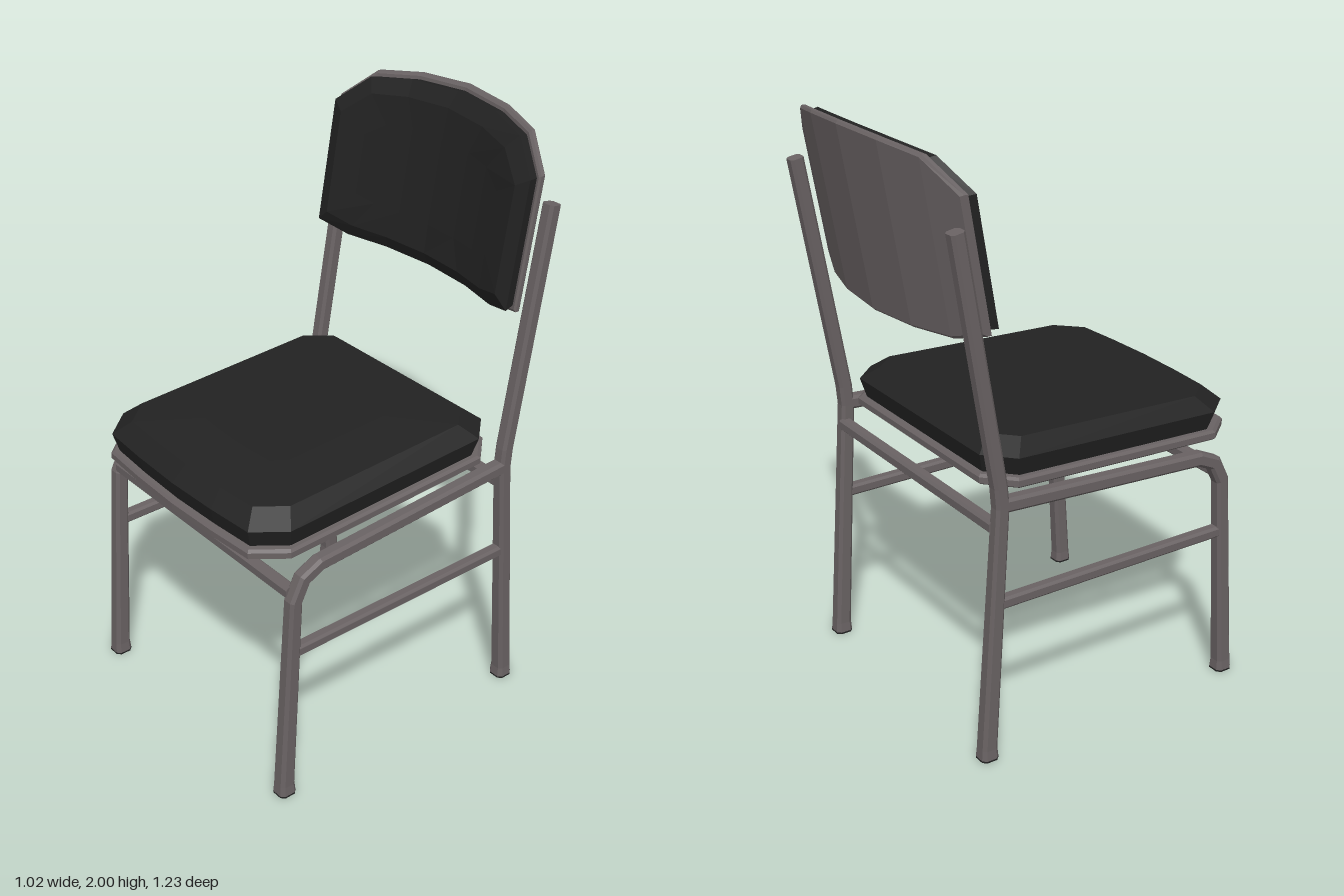
import * as THREE from 'three';

const metal = new THREE.MeshStandardMaterial({ color: 0x696263, flatShading: true });
metal.name = 'warm grey metal';
const fabric = new THREE.MeshStandardMaterial({ color: 0x222222, flatShading: true });
fabric.name = 'black padding';

// Collects quads (a, b, c, d counter-clockwise from outside) into a faceted geometry
function facets(quads) {
  const pos = [];
  for (const [a, b, c, d] of quads) for (const p of [a, b, c, a, c, d]) pos.push(p.x, p.y, p.z);
  const g = new THREE.BufferGeometry();
  g.setAttribute('position', new THREE.Float32BufferAttribute(pos, 3));
  g.computeVertexNormals();
  return g;
}

function addMesh(parent, name, geometry, material) {
  const mesh = new THREE.Mesh(geometry, material);
  mesh.name = name;
  parent.add(mesh);
  return mesh;
}

// Layered slab: columns are [u, low v, high v], rings are [inset, height]
function slab(columns, rings, place) {
  const n = columns.length;
  const U = columns[n - 1][0];
  const lo = Math.min(...columns.map(c => c[1])), hi = Math.max(...columns.map(c => c[2]));
  const mid = (lo + hi) / 2, V = (hi - lo) / 2;
  const outline = [
    ...columns.map(c => [c[0], c[1]]),
    ...columns.map(c => [c[0], c[2]]).reverse(),
  ];
  const loops = rings.map(([inset, h]) => outline.map(([u, v]) =>
    place(u * (U - inset) / U, mid + (v - mid) * (V - inset) / V, h)));
  const quads = [];
  const m = outline.length;
  for (let r = 0; r < loops.length - 1; r++) {
    for (let i = 0; i < m; i++) {
      const j = (i + 1) % m;
      quads.push([loops[r][i], loops[r][j], loops[r + 1][j], loops[r + 1][i]]);
    }
  }
  const first = loops[0], last = loops[loops.length - 1];
  for (let i = 0; i < n - 1; i++) {
    quads.push([last[i], last[i + 1], last[m - 2 - i], last[m - 1 - i]]);
    quads.push([first[m - 1 - i], first[m - 2 - i], first[i + 1], first[i]]);
  }
  return facets(quads);
}

// Square tube with chamfered edges, swept with mitred bends; side is square to the path
function tube(points, radii, side) {
  const section = [[1, -.6], [1, .6], [.6, 1], [-.6, 1], [-1, .6], [-1, -.6], [-.6, -1], [.6, -1]];
  const last = points.length - 1;
  const loops = points.map((p, i) => {
    const before = points[Math.max(i, 1)].clone().sub(points[Math.max(i, 1) - 1]).normalize();
    const k = Math.min(i, last - 1);
    const after = points[k + 1].clone().sub(points[k]).normalize();
    const along = before.clone().add(after).normalize();
    const up = along.clone().cross(side).multiplyScalar(1 / along.dot(after));
    return section.map(([a, b]) => p.clone()
      .addScaledVector(side, a * radii[i]).addScaledVector(up, b * radii[i]));
  });
  const quads = [];
  for (let r = 0; r < last; r++) {
    for (let i = 0; i < 8; i++) {
      const j = (i + 1) % 8;
      quads.push([loops[r][i], loops[r + 1][i], loops[r + 1][j], loops[r][j]].reverse());
    }
  }
  const s = loops[0], e = loops[last];
  for (const [a, b, c, d] of [[0, 1, 2, 3], [0, 3, 4, 7], [7, 4, 5, 6]]) {
    quads.push([s[a], s[b], s[c], s[d]].reverse(), [e[a], e[b], e[c], e[d]]);
  }
  return fixWinding(facets(quads), points, s, e);
}

// Turns every triangle of a tube over if its side wall faces inwards
function fixWinding(g, points, s) {
  const pos = g.attributes.position, nor = g.attributes.normal;
  const wall = new THREE.Vector3().fromBufferAttribute(pos, 0)
    .add(new THREE.Vector3().fromBufferAttribute(pos, 1))
    .add(new THREE.Vector3().fromBufferAttribute(pos, 2)).divideScalar(3);
  const axis = points[1].clone().sub(points[0]).normalize();
  const out = wall.sub(points[0]);
  out.addScaledVector(axis, -out.dot(axis));
  if (out.dot(new THREE.Vector3().fromBufferAttribute(nor, 0)) < 0) {
    for (let i = 0; i < pos.count; i += 3) {
      const b = new THREE.Vector3().fromBufferAttribute(pos, i + 1);
      const c = new THREE.Vector3().fromBufferAttribute(pos, i + 2);
      pos.setXYZ(i + 1, c.x, c.y, c.z);
      pos.setXYZ(i + 2, b.x, b.y, b.z);
    }
    g.computeVertexNormals();
  }
  return g;
}

export function createModel() {
  const chair = new THREE.Group();
  chair.name = 'chair';
  const X = new THREE.Vector3(1, 0, 0), Z = new THREE.Vector3(0, 0, 1);

  // Side frames: paths are [z, y, half width]
  const frontPath = [[.555, .006, .031], [.555, .04, .028], [.51, .74, .024], [.475, .81, .024],
    [.41, .84, .024], [-.36, .885, .024]];
  const rearPath = [[-.415, .006, .031], [-.415, .04, .028], [-.362, .88, .024],
    [-.368, .95, .024], [-.51, 1.77, .024]];
  const railPath = [[.51, .55, .02], [-.37, .55, .02]];
  for (const [sideName, x] of [['left', .48], ['right', -.48]]) {
    const frame = new THREE.Group();
    frame.name = sideName + 'Frame';
    chair.add(frame);
    const bar = (name, path, material = metal) => addMesh(frame, name,
      tube(path.map(([z, y]) => new THREE.Vector3(x, y, z)), path.map(p => p[2]), X), material);
    bar('frontLegAndSeatRail', frontPath);
    bar('rearLegAndBackPost', rearPath);
    bar('sideStretcher', railPath);
    for (const [name, z] of [['frontFootPad', .555], ['rearFootPad', -.415]]) {
      bar(name, [[z, 0, .031], [z, .006, .031]], fabric);
    }
  }

  // Crossbars between the side frames
  for (const [name, y, z] of [['frontCrossbar', .765, .508], ['rearCrossbar', .81, -.375]]) {
    const ends = [-.47, .47].map(x => new THREE.Vector3(x, y, z));
    addMesh(chair, name, tube(ends, [.021, .021], Z), metal);
  }

  // Seat: plate and cushion, tilted up towards the front of the backrest
  const seatColumns = [[-.46, -.5, .28], [-.375, -.6, .37], [-.2, -.612, .37], [0, -.618, .37],
    [.2, -.612, .37], [.375, -.6, .37], [.46, -.5, .28]];
  const onSeat = (u, v, h) => new THREE.Vector3(u, .894 + .0424 * v + h, -v);
  addMesh(chair, 'seatPlate',
    slab(seatColumns, [[.01, 0], [0, .008], [0, .028], [.008, .036]], onSeat), metal);
  addMesh(chair, 'seatCushion',
    slab(seatColumns, [[.025, .03], [.006, .1], [.06, .146], [.25, .156]], onSeat), fabric);

  // Backrest: leaning, curved plate and cushion
  const backColumns = [[-.475, 1.434, 1.868], [-.36, 1.4, 1.967], [-.2, 1.396, 1.99], [0, 1.394, 2],
    [.2, 1.396, 1.99], [.36, 1.4, 1.967], [.475, 1.434, 1.868]];
  const onBack = (u, v, h) =>
    new THREE.Vector3(u, v, -.51 - .175 * (v - 1.4) + .11 * (u / .475) ** 2 + h);
  addMesh(chair, 'backrestPlate',
    slab(backColumns, [[.008, 0], [0, .007], [0, .02], [.008, .027]], onBack), metal);
  addMesh(chair, 'backrestCushion',
    slab(backColumns, [[.02, .022], [.012, .06], [.06, .092], [.16, .096]], onBack), fabric);

  return chair;
}
